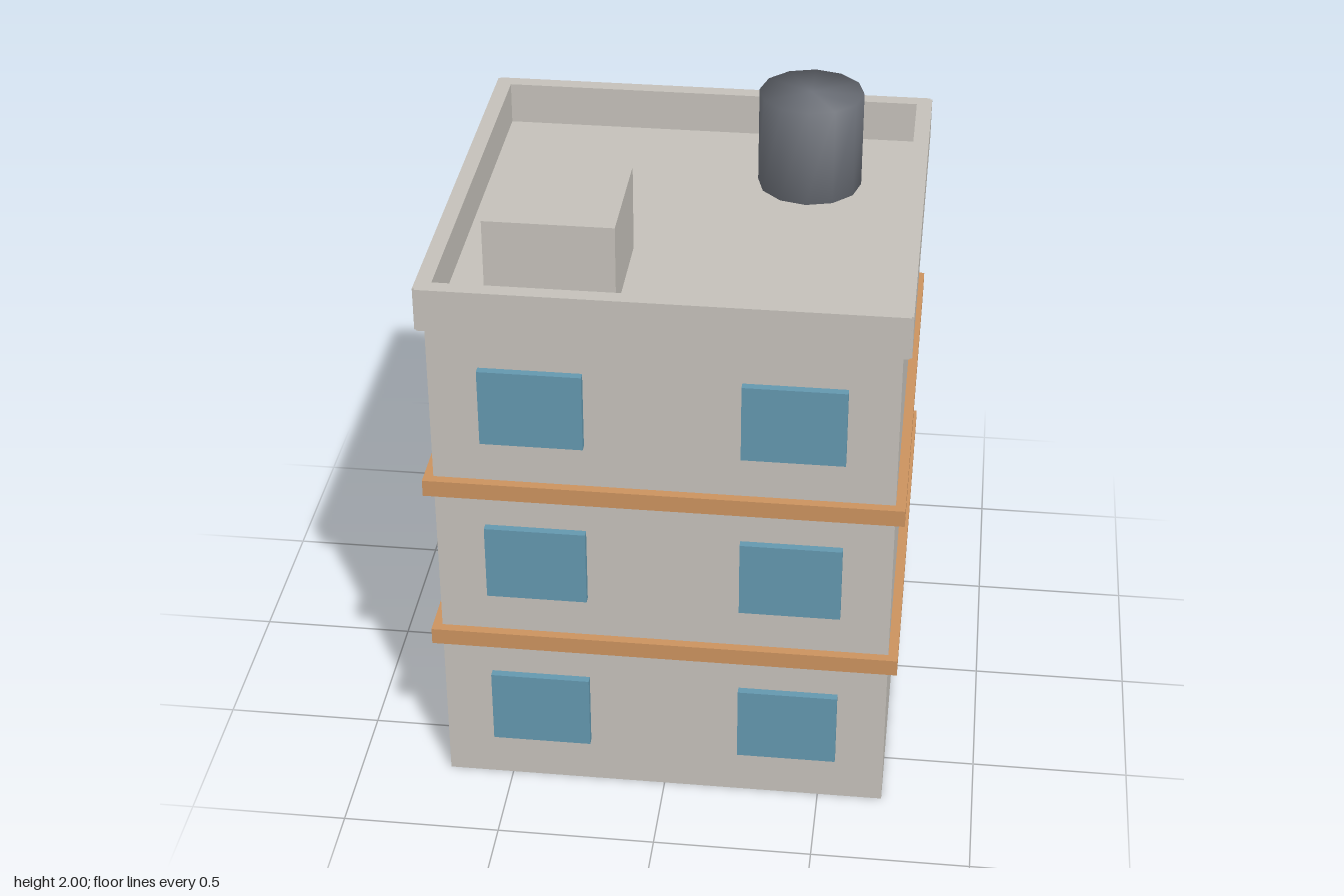
import * as THREE from 'three';
import { mergeVertices } from 'three/addons/utils/BufferGeometryUtils.js';

const makeMaterial = (name, color) => {
  const m = new THREE.MeshStandardMaterial({ color });
  m.name = name;
  return m;
};

export function createModel() {
  const concrete = makeMaterial('concrete', 0xc4c0b9);
  const trim = makeMaterial('orangeTrim', 0xcb925e);
  const glass = makeMaterial('blueGlass', 0x6397ae);
  const metal = makeMaterial('darkMetal', 0x6c7078);

  const model = new THREE.Group();
  model.name = 'apartmentBlock';

  const add = (name, geometry, material, x, y, z) => {
    const mesh = new THREE.Mesh(geometry, material);
    mesh.name = name;
    mesh.position.set(x, y, z);
    model.add(mesh);
  };
  // Box given by its base height
  const box = (name, material, w, h, d, x, base, z) =>
    add(name, new THREE.BoxGeometry(w, h, d), material, x, base + h / 2, z);

  const roof = 1.68;
  box('walls', concrete, 1.415, roof, 1.415, 0, 0, 0);

  // Ledges between the floors
  for (const y of [0.53, 1.095]) box('floorLedge', trim, 1.475, 0.055, 1.475, 0, y, 0);

  // Front windows, two per floor
  for (const y of [0.16, 0.728, 1.295]) {
    for (const side of [-1, 1]) box('window', glass, 0.315, 0.254, 0.03, side * 0.396, y, 0.718);
  }

  // Parapet around the roof
  for (const side of [-1, 1]) {
    box('parapetAcross', concrete, 1.452, 0.138, 0.05, 0, roof, side * 0.708);
    box('parapetAlong', concrete, 0.05, 0.138, 1.452, side * 0.708, roof, 0);
  }

  // Stair hut
  box('roofHut', concrete, 0.398, 0.28, 0.398, -0.355, roof, 0.354);

  // Water tank, with normals blended over the rim
  let tank = new THREE.CylinderGeometry(0.168, 0.168, 0.32, 12);
  tank.deleteAttribute('normal');
  tank.deleteAttribute('uv');
  tank = mergeVertices(tank);
  tank.computeVertexNormals();
  add('waterTank', tank, metal, 0.354, roof + 0.16, -0.356);

  return model;
}
